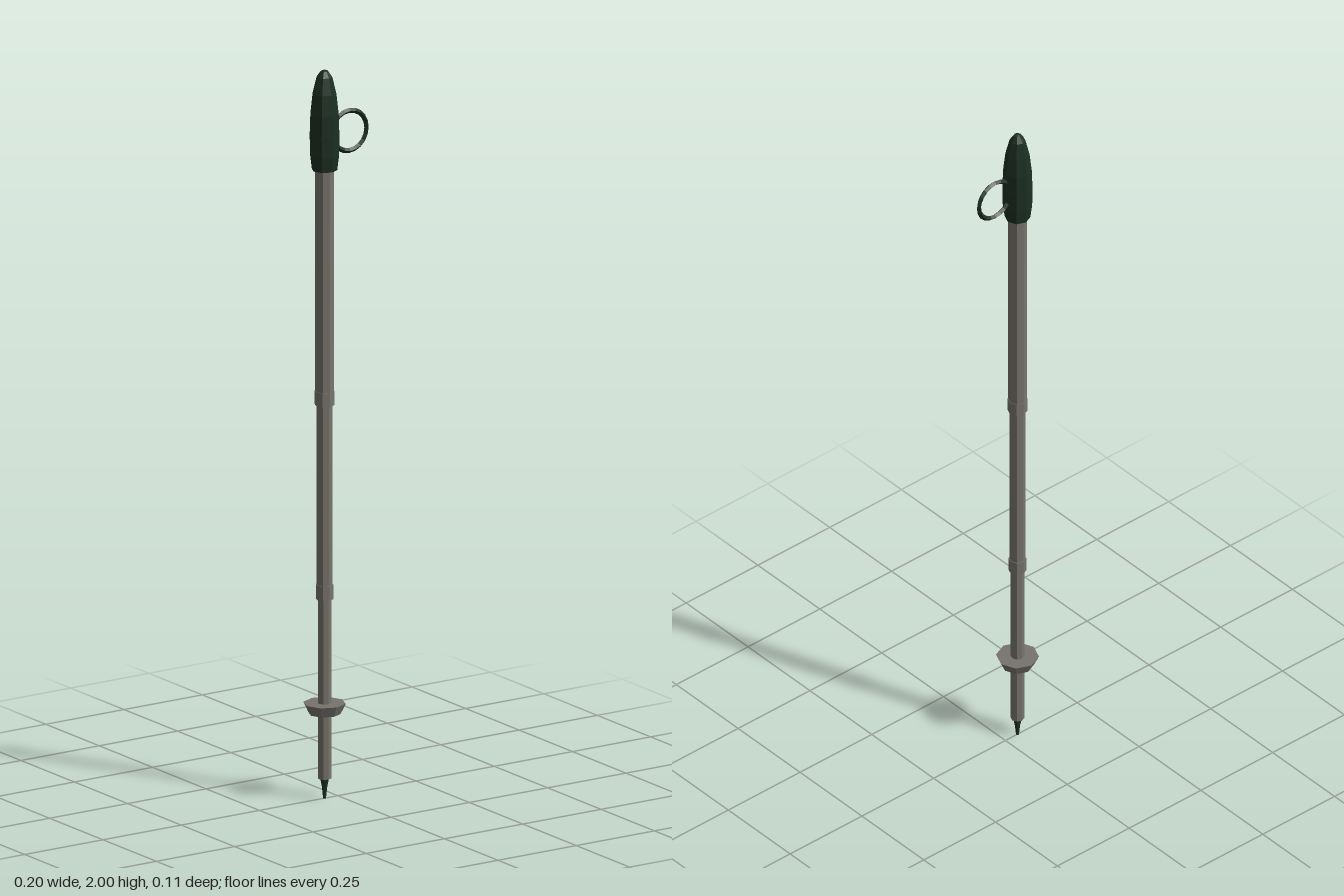
import * as THREE from 'three';

export function createModel() {
  const pole = new THREE.Group();
  pole.name = 'trekkingPole';
  const axisX = -0.042;
  const metal = new THREE.MeshStandardMaterial({ color: 0x77736c, flatShading: true });
  const dark = new THREE.MeshStandardMaterial({ color: 0x1c2f23, flatShading: true });

  function add(name, geometry, material, x = axisX, y = 0) {
    const mesh = new THREE.Mesh(geometry, material);
    mesh.name = name;
    mesh.position.set(x, y, 0);
    pole.add(mesh);
  }

  // Eight-sided section of the pole between two heights
  function section(name, y0, y1, r0, r1, material = metal) {
    add(name, new THREE.CylinderGeometry(r1, r0, y1 - y0, 8), material, axisX, (y0 + y1) / 2);
  }

  // Telescoping shaft, thinner towards the ground
  section('lowerShaft', 0.055, 0.56, 0.018, 0.018);
  section('middleShaft', 0.56, 1.1, 0.0215, 0.0215);
  section('upperShaft', 1.1, 1.74, 0.025, 0.025);

  // Locking collars at the joints
  section('lowerCollar', 0.547, 0.587, 0.0235, 0.0235);
  section('upperCollar', 1.08, 1.118, 0.0265, 0.0265);

  // Flared basket
  section('basket', 0.233, 0.262, 0.043, 0.057);

  // Stepped spike tip
  const tipProfile = [[0, 0], [0.004, 0], [0.007, 0.03], [0.012, 0.055], [0.012, 0.062], [0, 0.062]];
  add('tip', lathe(tipProfile), dark);

  // Tapered grip with a rounded top
  const gripProfile = [
    [0, 1.725], [0.034, 1.725], [0.039, 1.765], [0.04, 1.82], [0.038, 1.88],
    [0.032, 1.935], [0.021, 1.98], [0.01, 1.996], [0, 2],
  ];
  add('grip', lathe(gripProfile), dark);

  // Wrist loop
  add('wristLoop', new THREE.TorusGeometry(0.055, 0.007, 4, 20), dark, 0.037, 1.82);

  return pole;
}

function lathe(profile) {
  return new THREE.LatheGeometry(profile.map(([r, y]) => new THREE.Vector2(r, y)), 8);
}
